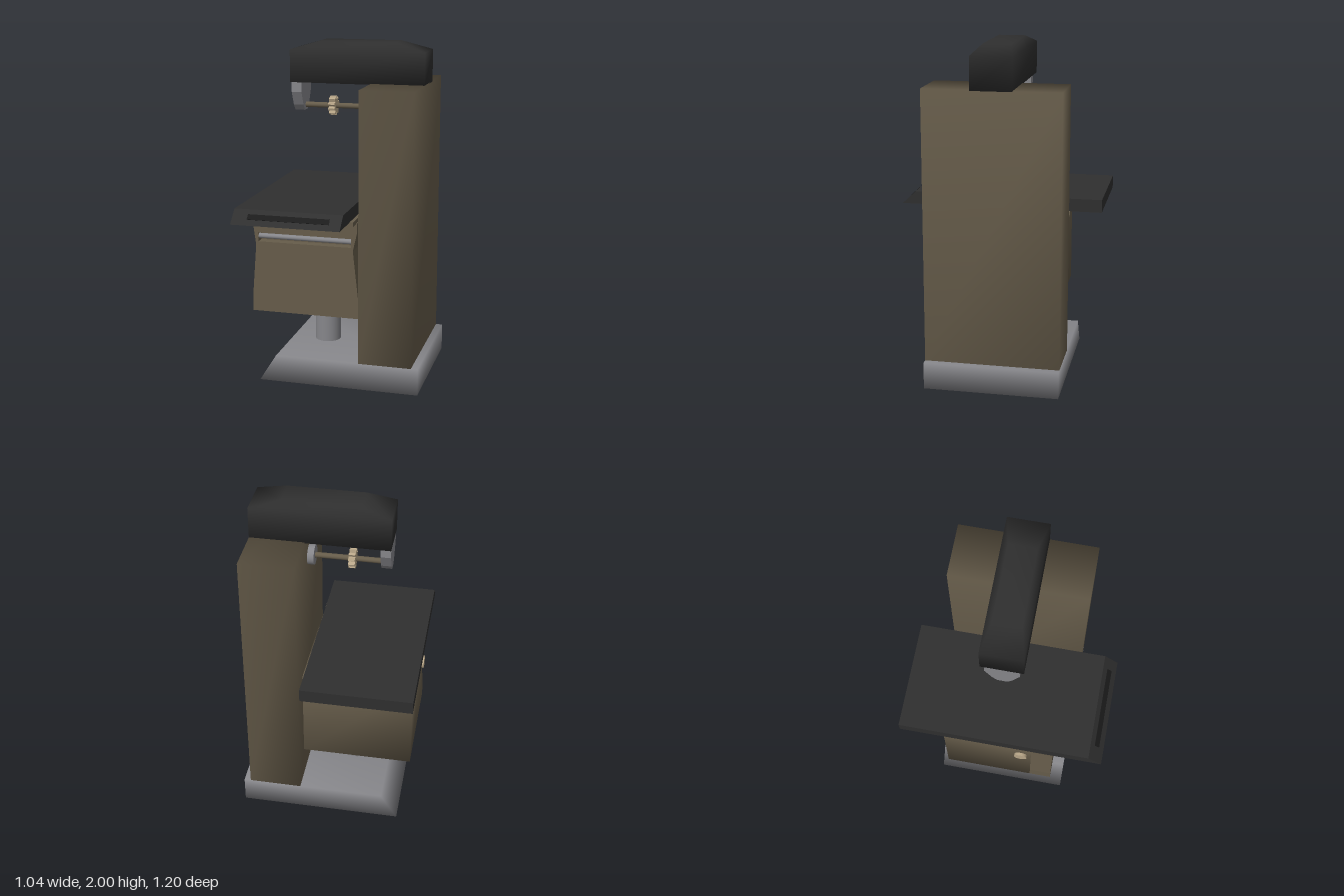
import * as THREE from 'three';
import { mergeVertices } from 'three/addons/utils/BufferGeometryUtils.js';

export function createModel() {
  const model = new THREE.Group();
  model.name = 'millingMachine';

  const paint = (name, color) => {
    const m = new THREE.MeshStandardMaterial({ color });
    m.name = name;
    return m;
  };
  const brown = paint('bronze paint', 0x665c4a);
  const black = paint('black paint', 0x2f2f2f);
  const darkSlot = paint('slot black', 0x1c1c1c);
  const steel = paint('steel grey', 0x86868a);
  const tan = paint('pale brass', 0xb8a688);

  const add = (name, geometry, material, x = 0, y = 0, z = 0) => {
    const mesh = new THREE.Mesh(geometry, material);
    mesh.name = name;
    mesh.position.set(x, y, z);
    model.add(mesh);
    return mesh;
  };

  // Shared corner normals give the soft cast-metal shading
  const soften = (geometry) => {
    geometry.deleteAttribute('normal');
    geometry.deleteAttribute('uv');
    const merged = mergeVertices(geometry, 1e-4);
    merged.computeVertexNormals();
    return merged;
  };

  // Box from its limits
  const block = (x0, x1, y0, y1, z0, z1) =>
    new THREE.BoxGeometry(x1 - x0, y1 - y0, z1 - z0)
      .translate((x0 + x1) / 2, (y0 + y1) / 2, (z0 + z1) / 2);

  const outline = (points) => new THREE.Shape(points.map(([a, b]) => new THREE.Vector2(a, b)));

  // Profile in x,y pushed from z0 to z1
  const extrudeZ = (shape, z0, z1) =>
    new THREE.ExtrudeGeometry(shape, { depth: z1 - z0, bevelEnabled: false }).translate(0, 0, z0);

  // Profile in z,y pushed from x0 to x1
  const extrudeX = (points, x0, x1) =>
    extrudeZ(outline(points.map(([z, y]) => [-z, y])), x0, x1).rotateY(Math.PI / 2);

  // Cylinder lying along x
  const barX = (radius, x0, x1, sides = 24) =>
    new THREE.CylinderGeometry(radius, radius, x1 - x0, sides)
      .rotateZ(Math.PI / 2).translate((x0 + x1) / 2, 0, 0);

  // Base with sloping outer end
  add('base', soften(extrudeZ(outline([
    [-0.44, 0], [0.52, 0], [0.52, 0.16], [-0.34, 0.16],
  ]), -0.415, 0.38)), steel);

  // Column
  add('column', soften(block(0.165, 0.48, 0.16, 1.765, -0.415, 0.38)), brown);

  // Overarm: a box whose top tapers in on all four sides
  const arm = new THREE.BoxGeometry(0.8, 0.24, 0.24, 1, 2, 1);
  const p = arm.attributes.position;
  for (let i = 0; i < p.count; i++) {
    const x = p.getX(i), y = p.getY(i), z = p.getZ(i);
    if (y > 0.1) p.setXYZ(i, x < 0 ? -0.23 : 0.22, y, Math.sign(z) * 0.08);
    else if (y > -0.1) p.setY(i, 0.07);
  }
  add('overarm', soften(arm), black, 0.08, 1.88, -0.018);

  // Arbor support hanging from the overarm, narrowing downwards
  add('arborSupport', extrudeX([
    [-0.115, 1.77], [-0.115, 1.70], [-0.075, 1.62], [-0.045, 1.585],
    [0.01, 1.585], [0.04, 1.62], [0.08, 1.70], [0.08, 1.77],
  ], -0.318, -0.258), steel);

  // Spindle nose and arbor
  const axisY = 1.615, axisZ = -0.018;
  add('spindleNose', barX(0.058, 0.127, 0.167, 32), steel, 0, axisY, axisZ);
  add('arbor', barX(0.016, -0.31, 0.13), brown, 0, axisY, axisZ);

  // Toothed milling cutter
  const teeth = 10, rim = [];
  for (let i = 0; i < teeth; i++) {
    for (const [t, r] of [[0, 0.04], [0.3, 0.057], [0.65, 0.057], [0.8, 0.04]]) {
      const a = ((i + t) / teeth) * Math.PI * 2;
      rim.push([Math.cos(a) * r, Math.sin(a) * r]);
    }
  }
  add('cutter', extrudeX(rim, -0.108, -0.07), tan, 0, axisY, axisZ);

  // Lifting post under the knee
  add('liftPost', new THREE.CylinderGeometry(0.078, 0.078, 0.27, 32), steel, -0.125, 0.295, -0.01);

  // Knee body with tapered front that holds a recessed slot
  add('knee', soften(block(-0.5, 0.15, 0.41, 0.975, -0.345, 0.18)), brown);
  const front = outline([
    [-0.5, 0.41], [0.15, 0.41], [0.15, 0.5], [0.115, 0.82], [0.14, 0.93], [0.14, 0.975],
    [-0.49, 0.975], [-0.49, 0.93], [-0.475, 0.82], [-0.5, 0.5],
  ]);
  front.holes.push(new THREE.Path([[-0.46, 0.84], [-0.46, 0.895], [0.105, 0.895], [0.105, 0.84]]
    .map(([a, b]) => new THREE.Vector2(a, b))));
  add('kneeFront', extrudeZ(front, 0.18, 0.31), brown);
  add('slotBack', block(-0.46, 0.105, 0.84, 0.895, 0.25, 0.256), brown);
  add('slideRod', barX(0.015, -0.46, 0.105), steel, 0, 0.872, 0.292);

  // Round knob on the knee's outer side
  add('kneeKnob', barX(0.038, -0.517, -0.495, 28), tan, 0, 0.82, 0.12);

  // Stepped saddle below the table
  add('saddleLower', block(-0.5, 0.14, 0.97, 0.988, -0.345, 0.31), brown);
  add('saddleUpper', block(-0.512, 0.135, 0.984, 1.012, -0.415, 0.38), brown);

  // Work table with sloping front end
  add('table', extrudeX([
    [-0.6, 1.01], [0.6, 1.01], [0.52, 1.086], [-0.6, 1.086],
  ], -0.525, 0.115), black);

  // Slot painted on the table's sloping end
  const slot = add('tableSlot', new THREE.BoxGeometry(0.48, 0.004, 0.036), darkSlot, -0.195, 1.05, 0.558);
  slot.rotation.x = Math.atan2(0.076, 0.08);

  return model;
}
